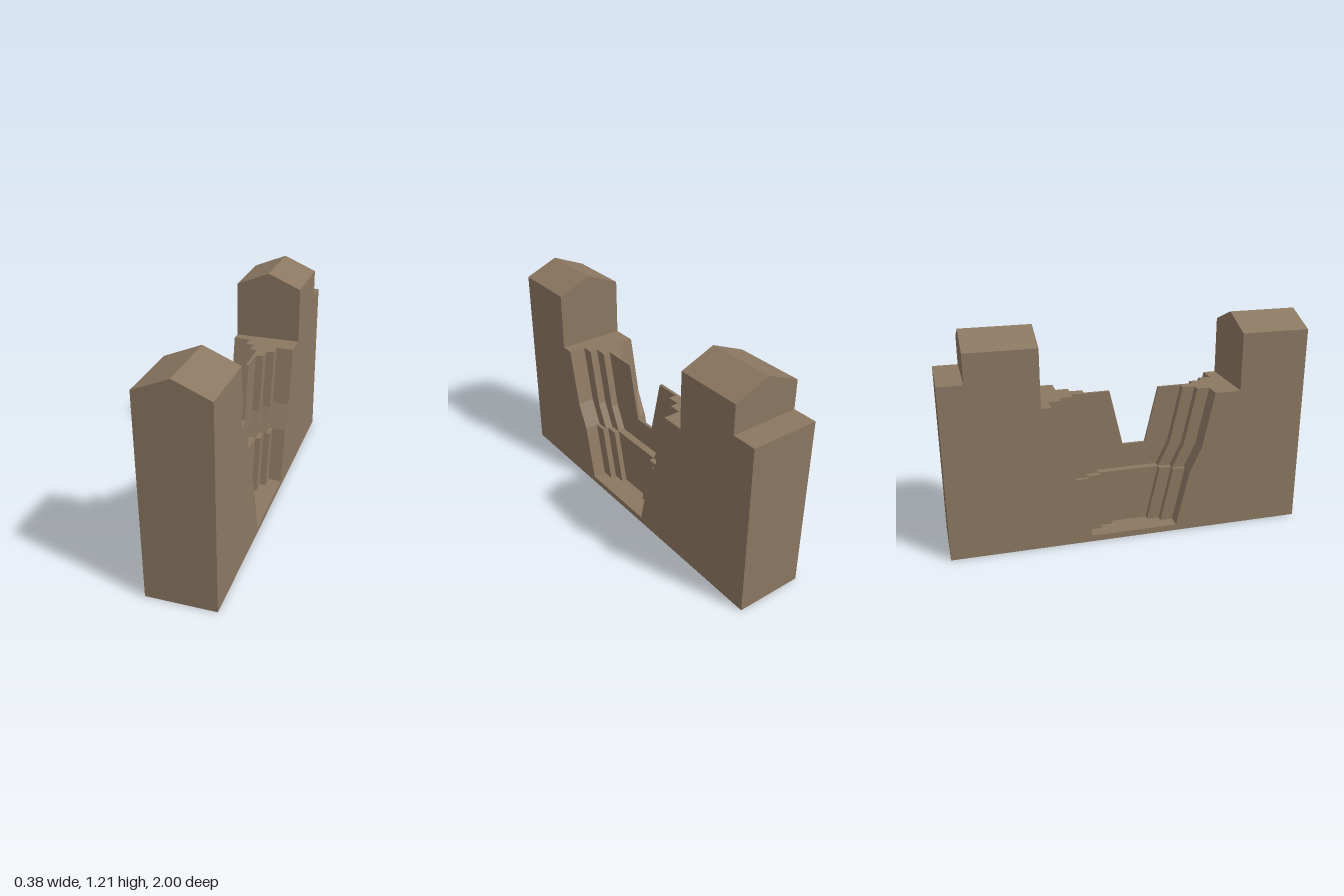
import * as THREE from 'three';

const HALF_WIDTH = 0.19;
const DECK = 0.81; // height of the middle part between the towers

// Extrudes a (z, y) outline across the width, from x0 up to x1
function slab(points, x0, x1) {
  const shape = new THREE.Shape(points.map(([z, y]) => new THREE.Vector2(z, y)));
  const geo = new THREE.ExtrudeGeometry(shape, { depth: x1 - x0, bevelEnabled: false });
  geo.rotateY(-Math.PI / 2); // outline x becomes z, depth runs towards -x
  geo.translate(x1, 0, 0);
  return geo;
}

// Block outline with a notch; notch is a list of [half width, y] from floor to top
function notchedOutline(centre, notch) {
  const up = notch.map(([h, y]) => [centre + h, y]);
  const down = notch.map(([h, y]) => [centre - h, y]).reverse();
  return [[-1, 0], [1, 0], [1, DECK], ...up.reverse(), ...down.reverse(), [-1, DECK]];
}

// Notch cross-section: each level is 0.07 narrower per side; no lower part leaves a ledge
function notchProfile(lower, upper) {
  const l = 0.07 * lower, u = 0.07 * upper;
  const top = [[0.315 - u, 0.35], [0.3825 - u, 0.49], [0.4525 - u, DECK]];
  if (lower === 3) return top;
  const bottom = [[0.245 - l, 0.035], [0.315 - l, 0.35]];
  return lower === upper ? [...bottom, ...top.slice(1)] : [...bottom, ...top];
}

export function createModel() {
  const group = new THREE.Group();
  const stone = new THREE.MeshStandardMaterial({ color: 0x8b7761 });
  stone.name = 'brown stone';

  const add = (name, geo) => {
    const mesh = new THREE.Mesh(geo, stone);
    mesh.name = name;
    group.add(mesh);
  };

  // Stepped layers, from the outer face inwards: [outer x, inner x, lower step, upper step]
  const layers = [
    [HALF_WIDTH, 0.115, 0, 0],
    [0.115, 0.095, 1, 0],
    [0.095, 0.08, 1, 1],
    [0.08, 0.05, 2, 1],
    [0.05, 0.008, 3, 2],
  ];
  layers.forEach(([outer, inner, lower, upper], i) => {
    const profile = notchProfile(lower, upper);
    add(`leftLayer${i + 1}`, slab(notchedOutline(0.0975, profile), inner, outer));
    add(`rightLayer${i + 1}`, slab(notchedOutline(0.0225, profile), -outer, -inner));
  });

  // Thin central wall with the open notch
  add('centreWall', slab(notchedOutline(0.065, [[0.065, 0.49], [0.14, DECK]]), -0.008, 0.008));

  // Gabled towers
  const tower = (name, z0, z1) => {
    const w = HALF_WIDTH;
    const shape = new THREE.Shape(
      [[-w, DECK], [w, DECK], [w, 1.13], [0, 1.21], [-w, 1.13]].map(([x, y]) => new THREE.Vector2(x, y)));
    const geo = new THREE.ExtrudeGeometry(shape, { depth: z1 - z0, bevelEnabled: false });
    geo.translate(0, 0, z0);
    add(name, geo);
  };
  tower('frontTower', 0.62, 1);
  tower('backTower', -0.865, -0.485);

  // Low flat step behind the back tower
  const step = new THREE.BoxGeometry(2 * HALF_WIDTH, 0.97 - DECK, 0.135);
  step.translate(0, (0.97 + DECK) / 2, -0.9325);
  add('backStep', step);

  return group;
}
